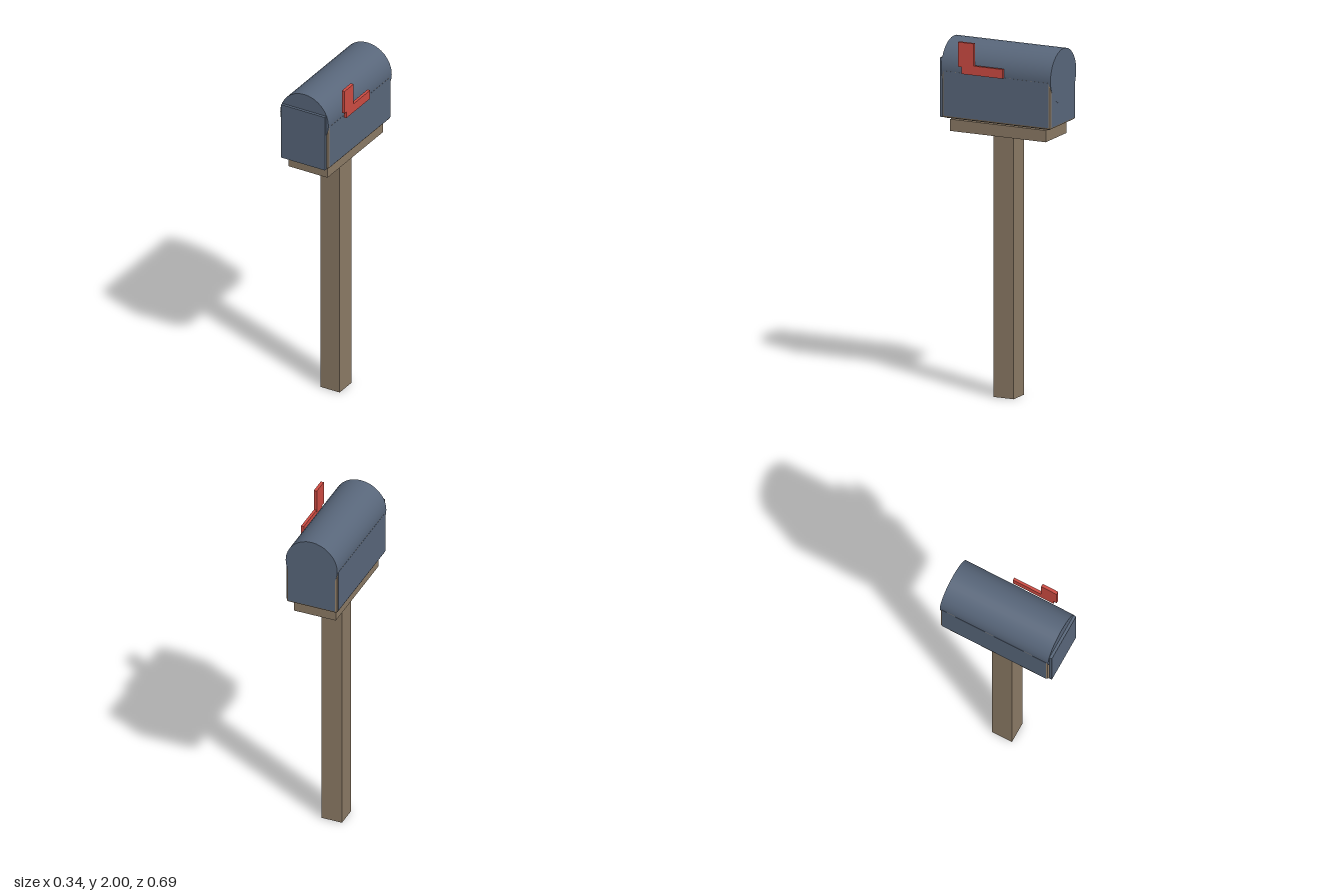
import * as THREE from 'three';
import { RoundedBoxGeometry } from 'three/addons/geometries/RoundedBoxGeometry.js';

const wood = new THREE.MeshStandardMaterial({ color: 0x8a7964, flatShading: true });
const steel = new THREE.MeshStandardMaterial({ color: 0x58667a, flatShading: true });
const steelSmooth = new THREE.MeshStandardMaterial({ color: 0x58667a });
const red = new THREE.MeshStandardMaterial({ color: 0xcc4b42, flatShading: true });

export function createModel() {
  const model = new THREE.Group();
  model.name = 'mailbox';

  const add = (name, geometry, material, x, y, z) => {
    const mesh = new THREE.Mesh(geometry, material);
    mesh.name = name;
    mesh.position.set(x, y, z);
    model.add(mesh);
    return mesh;
  };
  // Box given by its extents along each axis
  const box = (name, material, [x0, x1], [y0, y1], [z0, z1]) =>
    add(name, new THREE.BoxGeometry(x1 - x0, y1 - y0, z1 - z0), material,
      (x0 + x1) / 2, (y0 + y1) / 2, (z0 + z1) / 2);

  // Post and the board on top of it
  box('post', wood, [-0.078, 0.045], [0, 1.48], [-0.07, 0.054]);
  box('platform', wood, [-0.141, 0.108], [1.48, 1.546], [-0.299, 0.288]);

  // Lower body: a box with wooden bevelled edges and steel panels on its faces
  const cx = -0.0155, cz = -0.008, radius = 0.1535, length = 0.67;
  const bottom = 1.557, spring = 1.832, bevel = 0.012, lift = 0.001;
  const width = 2 * radius - 2 * lift, depth = length - 2 * lift, height = spring - bottom;
  const cy = (bottom + spring) / 2;
  add('bodyFrame', new RoundedBoxGeometry(width, height, depth, 1, bevel), wood, cx, cy, cz);
  const w = width - 2 * bevel, h = height - 2 * bevel, d = depth - 2 * bevel;
  add('sidePanels', new THREE.BoxGeometry(width + 2 * lift, h, d), steel, cx, cy, cz);
  add('endPanels', new THREE.BoxGeometry(w, h, depth + 2 * lift), steel, cx, cy, cz);
  add('floorPanel', new THREE.BoxGeometry(w, height + 2 * lift, d), steel, cx, cy, cz);

  // Arched roof
  const roof = new THREE.CylinderGeometry(radius, radius, length + lift, 32);
  add('roof', roof, steelSmooth, cx, spring, cz).rotation.x = Math.PI / 2;

  // Front door
  box('door', steel, [-0.155, 0.124], [1.557, 1.889], [0.32, 0.343]);

  // Signal flag: arm and raised blade
  box('flagArm', red, [0.152, 0.168], [1.823, 1.875], [-0.064, 0.188]);
  box('flagBlade', red, [0.151, 0.169], [1.862, 2], [0.112, 0.208]);

  return model;
}
